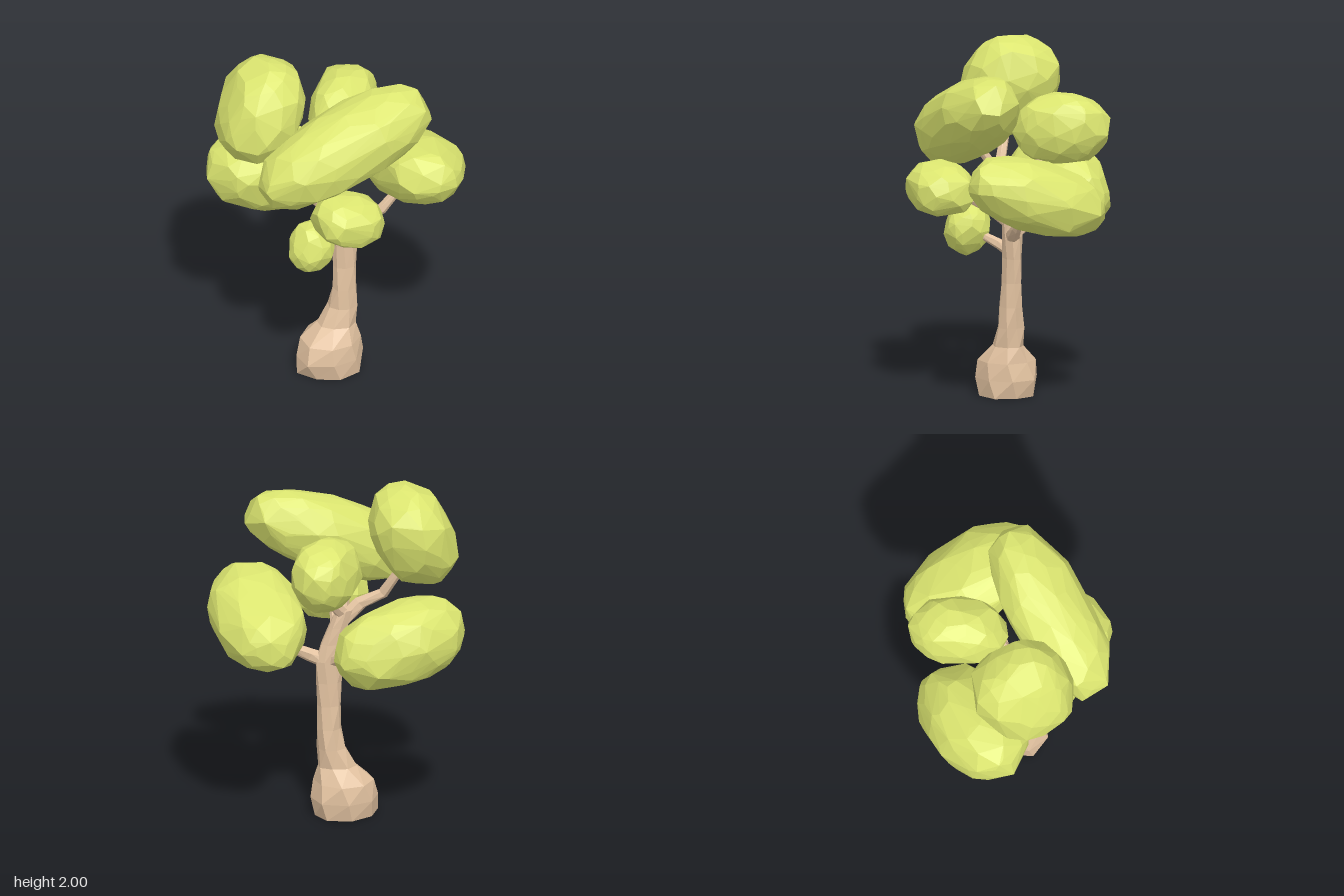
import * as THREE from 'three';
import { ConvexGeometry } from 'three/addons/geometries/ConvexGeometry.js';

const bark = new THREE.MeshStandardMaterial({ color: 0xe2c2a0, flatShading: true });
const leaf = new THREE.MeshStandardMaterial({ color: 0xdce670, flatShading: true });

function seeded(seed) {
  return () => {
    seed = (seed * 16807) % 2147483647;
    return seed / 2147483647;
  };
}

// Loft through rings [x, y, z, rx, rz], each ring perpendicular to dir
function limb(rings, sides, dir, rough, seed) {
  const rnd = seeded(seed);
  const turn = new THREE.Quaternion().setFromUnitVectors(new THREE.Vector3(0, 1, 0), dir);
  const pos = [], idx = [];
  rings.forEach(([x, y, z, rx, rz], j) => {
    for (let i = 0; i < sides; i++) {
      const a = ((i + 0.2 * j) / sides) * Math.PI * 2;
      const k = 1.05 + (rnd() - 0.5) * rough;
      const p = new THREE.Vector3(Math.cos(a) * rx * k, 0, Math.sin(a) * rz * k).applyQuaternion(turn);
      pos.push(x + p.x, y + p.y, z + p.z);
    }
  });
  const last = rings.length - 1, base = pos.length / 3;
  for (let j = 0; j < last; j++) {
    for (let i = 0; i < sides; i++) {
      const a = j * sides + i, b = j * sides + (i + 1) % sides;
      idx.push(b, a, a + sides, b, a + sides, b + sides);
    }
  }
  // End caps
  pos.push(...rings[0].slice(0, 3), ...rings[last].slice(0, 3));
  for (let i = 0; i < sides; i++) {
    const n = (i + 1) % sides;
    idx.push(base, i, n, base + 1, last * sides + n, last * sides + i);
  }
  const geo = new THREE.BufferGeometry();
  geo.setAttribute('position', new THREE.Float32BufferAttribute(pos, 3));
  geo.setIndex(idx);
  const flat = geo.toNonIndexed();
  flat.computeVertexNormals();
  return flat;
}

// Faceted leaf clump: a roughened, turned ellipsoid fitted to the box min..max
function clump({ min, max, radii, turn, seed, count = 120 }) {
  const rnd = seeded(seed);
  const rot = new THREE.Euler(...turn);
  const blunt = (v) => Math.sign(v) * Math.abs(v) ** 0.9;
  const pts = [];
  for (let i = 0; i < count; i++) {
    const h = 1 - (2 * (i + 0.5)) / count;
    const a = i * 2.39996 + rnd() * 0.7;
    const r = Math.sqrt(1 - h * h), k = 0.95 + rnd() * 0.09;
    pts.push(new THREE.Vector3(
      blunt(r * Math.cos(a)) * radii[0] * k,
      blunt(h) * radii[1] * k,
      blunt(r * Math.sin(a)) * radii[2] * k
    ).applyEuler(rot));
  }
  const box = new THREE.Box3().setFromPoints(pts);
  const lo = new THREE.Vector3(...min), span = new THREE.Vector3(...max).sub(lo);
  const size = box.getSize(new THREE.Vector3());
  pts.forEach((p) => p.sub(box.min).divide(size).multiply(span).add(lo));
  return new ConvexGeometry(pts);
}

export function createModel() {
  const tree = new THREE.Group();
  tree.name = 'tree';
  const add = (name, geo, mat) => {
    const mesh = new THREE.Mesh(geo, mat);
    mesh.name = name;
    tree.add(mesh);
  };

  // Trunk with a swollen foot
  add('trunk', limb([
    [-0.075, 0, 0.055, 0.18, 0.158],
    [-0.085, 0.1, 0.055, 0.192, 0.172],
    [-0.07, 0.2, 0.055, 0.165, 0.162],
    [-0.035, 0.29, 0.055, 0.11, 0.088],
    [0, 0.4, 0.055, 0.078, 0.072],
    [0.008, 0.52, 0.055, 0.068, 0.06],
    [0.01, 0.66, 0.05, 0.064, 0.052],
    [0.015, 0.8, 0.05, 0.07, 0.048],
    [0.015, 0.93, 0.05, 0.078, 0.05],
    [-0.005, 1.03, 0.05, 0.065, 0.05],
    [-0.04, 1.13, 0.045, 0.056, 0.046],
    [-0.08, 1.23, 0.04, 0.05, 0.042],
  ], 8, new THREE.Vector3(0, 1, 0), 0.2, 11), bark);

  // Branches: path points, start radius, end radius
  const branches = {
    rightBranch: [[[0.02, 0.92, 0.05], [0.12, 0.96, 0.08], [0.22, 1.01, 0.1], [0.36, 1.16, 0.1]], 0.045, 0.022],
    lowerBranch: [[[0, 0.83, 0.05], [-0.09, 0.865, 0.09], [-0.22, 0.93, 0.2]], 0.035, 0.02],
    backBranch: [[[0, 0.93, 0.04], [-0.05, 0.98, -0.07], [-0.16, 1.06, -0.22]], 0.04, 0.025],
    frontBranch: [[[-0.02, 1.0, 0.06], [-0.06, 1.08, 0.17], [-0.1, 1.19, 0.36]], 0.035, 0.02],
    crownBranch: [[[-0.06, 1.16, 0.05], [-0.17, 1.26, 0.04], [-0.29, 1.32, 0], [-0.4, 1.52, -0.08]], 0.045, 0.024],
    longClumpBranch: [[[-0.06, 1.15, 0.05], [-0.09, 1.28, 0.1], [-0.1, 1.45, 0.22]], 0.038, 0.024],
    rearClumpBranch: [[[-0.07, 1.19, 0.04], [0.01, 1.29, 0.0], [0.1, 1.33, -0.06], [0.12, 1.46, -0.16]], 0.036, 0.022],
  };
  Object.entries(branches).forEach(([name, [path, r0, r1]], n) => {
    const dir = new THREE.Vector3(...path[path.length - 1]).sub(new THREE.Vector3(...path[0])).normalize();
    const rings = path.map((p, i) => {
      const r = THREE.MathUtils.lerp(r0, r1, i / (path.length - 1));
      return [...p, r, r];
    });
    add(name, limb(rings, 6, dir, 0.2, 31 + n), bark);
  });

  // Foliage
  const clumps = {
    crownFoliage: { min: [-0.69, 1.4, -0.41], max: [-0.18, 2, 0.18], radii: [0.23, 0.32, 0.27], turn: [-0.25, 0, -0.45] },
    longFoliage: { min: [-0.58, 1.3, 0.05], max: [0.44, 1.89, 0.51], radii: [0.54, 0.215, 0.23], turn: [0.15, 0.08, 0.4], count: 150 },
    rightFoliage: { min: [0.18, 1.0, -0.34], max: [0.69, 1.46, 0.47], radii: [0.25, 0.19, 0.42], turn: [-0.3, 0, -0.15] },
    rearFoliage: { min: [-0.12, 1.34, -0.47], max: [0.33, 1.75, 0.05], radii: [0.19, 0.2, 0.29], turn: [0.1, -0.55, 0] },
    backFoliage: { min: [-0.68, 0.89, -0.61], max: [0.1, 1.39, -0.09], radii: [0.4, 0.25, 0.26], turn: [0.35, 0, -0.25], count: 150 },
    frontFoliage: { min: [-0.31, 1.06, 0.25], max: [0.09, 1.36, 0.61], radii: [0.21, 0.14, 0.18], turn: [0, 0, -0.2], count: 80 },
    lowerFoliage: { min: [-0.39, 0.78, 0.09], max: [-0.12, 1.08, 0.35], radii: [0.13, 0.15, 0.13], turn: [-0.3, 0, -0.3], count: 70 },
  };
  Object.entries(clumps).forEach(([name, spec], n) => add(name, clump({ ...spec, seed: 101 + n * 57 }), leaf));

  return tree;
}
